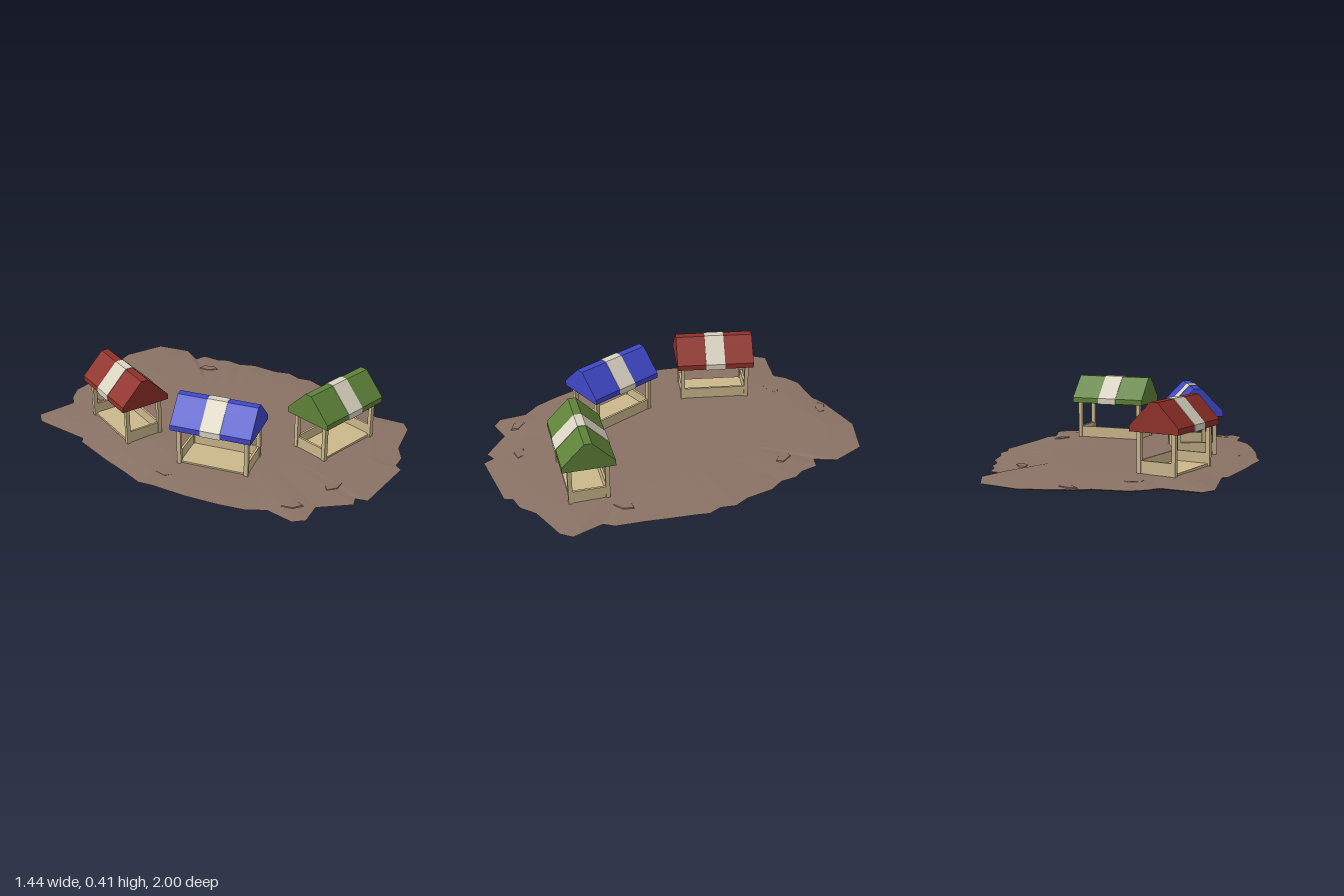
import * as THREE from 'three';

const mat = (color, extra = {}) =>
  new THREE.MeshStandardMaterial({ color, flatShading: true, ...extra });
const WOOD = mat(0xcbb78c), WHITE = mat(0xd8d2c0), EARTH = mat(0x8a7265);

function add(parent, name, geometry, material, x = 0, y = 0, z = 0) {
  const mesh = new THREE.Mesh(geometry, material);
  mesh.name = name;
  mesh.position.set(x, y, z);
  parent.add(mesh);
  return mesh;
}

// Gabled prism with a short vertical fascia and a narrow flat ridge, running along x
function gable(length, halfWidth, low, eave, top, ridge) {
  const s = new THREE.Shape([
    [-halfWidth, low], [halfWidth, low], [halfWidth, eave],
    [ridge, top], [-ridge, top], [-halfWidth, eave],
  ].map(p => new THREE.Vector2(...p)));
  return new THREE.ExtrudeGeometry(s, { depth: length, bevelEnabled: false })
    .translate(0, 0, -length / 2).rotateY(Math.PI / 2);
}

// Market stall: open on local +z, low counters on the other three sides
function createStall(name, color) {
  const stall = new THREE.Group();
  stall.name = name;
  const hx = 0.184, hz = 0.097, base = 0.045, t = 0.022;
  for (const x of [-hx, hx]) {
    for (const z of [-hz, hz])
      add(stall, 'post', new THREE.BoxGeometry(t, 0.22, t), WOOD, x, base + 0.11, z);
    add(stall, 'endPanel', new THREE.BoxGeometry(0.012, 0.07, 2 * hz), WOOD, x, base + 0.035, 0);
  }
  add(stall, 'counterPanel', new THREE.BoxGeometry(2 * hx, 0.07, 0.012), WOOD, 0, base + 0.035, -hz);
  add(stall, 'floor', new THREE.BoxGeometry(2 * hx, 0.015, 2 * hz), WOOD, 0, base + 0.0075, 0);
  add(stall, 'roof', gable(0.437, 0.138, 0.26, 0.29, 0.412, 0.02), mat(color));
  add(stall, 'roofStripe', gable(0.108, 0.141, 0.257, 0.291, 0.415, 0.021), WHITE);
  return stall;
}

// Irregular outline of the ground as x, z pairs
const OUTLINE = [
  0.34, -1, 0.55, -0.91, 0.6, -0.73, 0.54, -0.62, 0.6, -0.6, 0.61, -0.5, 0.64, -0.45, 0.64, -0.36,
  0.68, -0.28, 0.69, -0.13, 0.72, -0.05, 0.7, 0.03, 0.72, 0.1, 0.7, 0.17, 0.67, 0.3, 0.64, 0.42,
  0.61, 0.57, 0.57, 0.62, 0.6, 0.79, 0.55, 0.84, 0.35, 0.89, 0.27, 0.95, 0.19, 0.96, 0.17, 1,
  -0.18, 1, -0.2, 0.94, -0.25, 0.96, -0.38, 0.82, -0.5, 0.84, -0.55, 0.79, -0.54, 0.64, -0.6, 0.55,
  -0.64, 0.42, -0.68, 0.23, -0.7, 0.05, -0.72, -0.03, -0.69, -0.15, -0.66, -0.3, -0.6, -0.53,
  -0.57, -0.55, -0.57, -0.86, -0.52, -0.92, -0.31, -0.86, -0.26, -0.91, -0.18, -0.95, 0, -0.94, 0.08, -0.97,
];

// Lens of scaled outline rings, from the centre of the top round to the centre underneath
function groundGeometry() {
  const rings = [[0, 0.053], [0.6, 0.052], [0.85, 0.044], [1, 0.034], [0.98, 0.026], [0.8, 0.014], [0.5, 0.003], [0, 0]];
  const n = OUTLINE.length / 2, pos = [], index = [];
  for (const [s, y] of rings)
    for (let i = 0; i < n; i++) pos.push(OUTLINE[2 * i] * s, y, OUTLINE[2 * i + 1] * s);
  for (let r = 0; r < rings.length - 1; r++)
    for (let i = 0; i < n; i++) {
      const j = (i + 1) % n, a = r * n + i, b = r * n + j, c = a + n, d = b + n;
      if (r > 0) index.push(a, b, c);
      if (r < rings.length - 2) index.push(b, d, c);
      else continue;
    }
  const g = new THREE.BufferGeometry();
  g.setAttribute('position', new THREE.Float32BufferAttribute(pos, 3));
  g.setIndex(index);
  // Corners run clockwise from above, so flip them to face outward
  const idx = g.index.array;
  for (let k = 0; k < idx.length; k += 3) [idx[k + 1], idx[k + 2]] = [idx[k + 2], idx[k + 1]];
  // Innermost top fan starts at the collapsed ring
  g.computeVertexNormals();
  const a = g.attributes.position, v = k => new THREE.Vector3().fromBufferAttribute(a, idx[k]);
  const normal = new THREE.Triangle(v(0), v(1), v(2)).getNormal(new THREE.Vector3());
  if (normal.y < 0)
    for (let k = 0; k < idx.length; k += 3) [idx[k + 1], idx[k + 2]] = [idx[k + 2], idx[k + 1]];
  g.computeVertexNormals();
  return g;
}

export function createModel() {
  const model = new THREE.Group();
  model.name = 'marketSquare';
  add(model, 'ground', groundGeometry(), EARTH);

  // Flat stones half sunk in the ground: x, y, z, turn
  const stones = [
    [-0.17, 0.04, -0.76, 0.4], [0.47, 0.044, -0.47, -1.1], [-0.58, 0.039, 0.02, 1.5],
    [-0.18, 0.041, 0.8, -0.3], [0.12, 0.035, -0.92, -0.5], [-0.44, 0.04, 0.72, -0.9],
    [0.49, 0.043, 0.47, 0.9], [0.2, 0.01, -0.4, 0.3], [-0.2, 0.01, 0.4, 1.1], [0.25, 0.01, 0.35, 0.7],
  ];
  for (const [x, y, z, turn] of stones)
    add(model, 'stone', new THREE.CylinderGeometry(0.045, 0.055, 0.012, 5).scale(1.2, 1, 0.6), EARTH, x, y, z)
      .rotation.y = turn;

  // Stalls with their counters facing the middle of the square
  const stalls = [
    ['redStall', 0x8f3128, -0.32, -0.445, -1.92],
    ['blueStall', 0x4048c8, -0.322, 0.19, -1.293],
    ['greenStall', 0x5e8238, 0.19, 0.578, -0.184],
  ];
  for (const [name, color, x, z, turn] of stalls) {
    const stall = createStall(name, color);
    stall.position.set(x, 0, z);
    stall.rotation.y = turn;
    model.add(stall);
  }
  return model;
}
